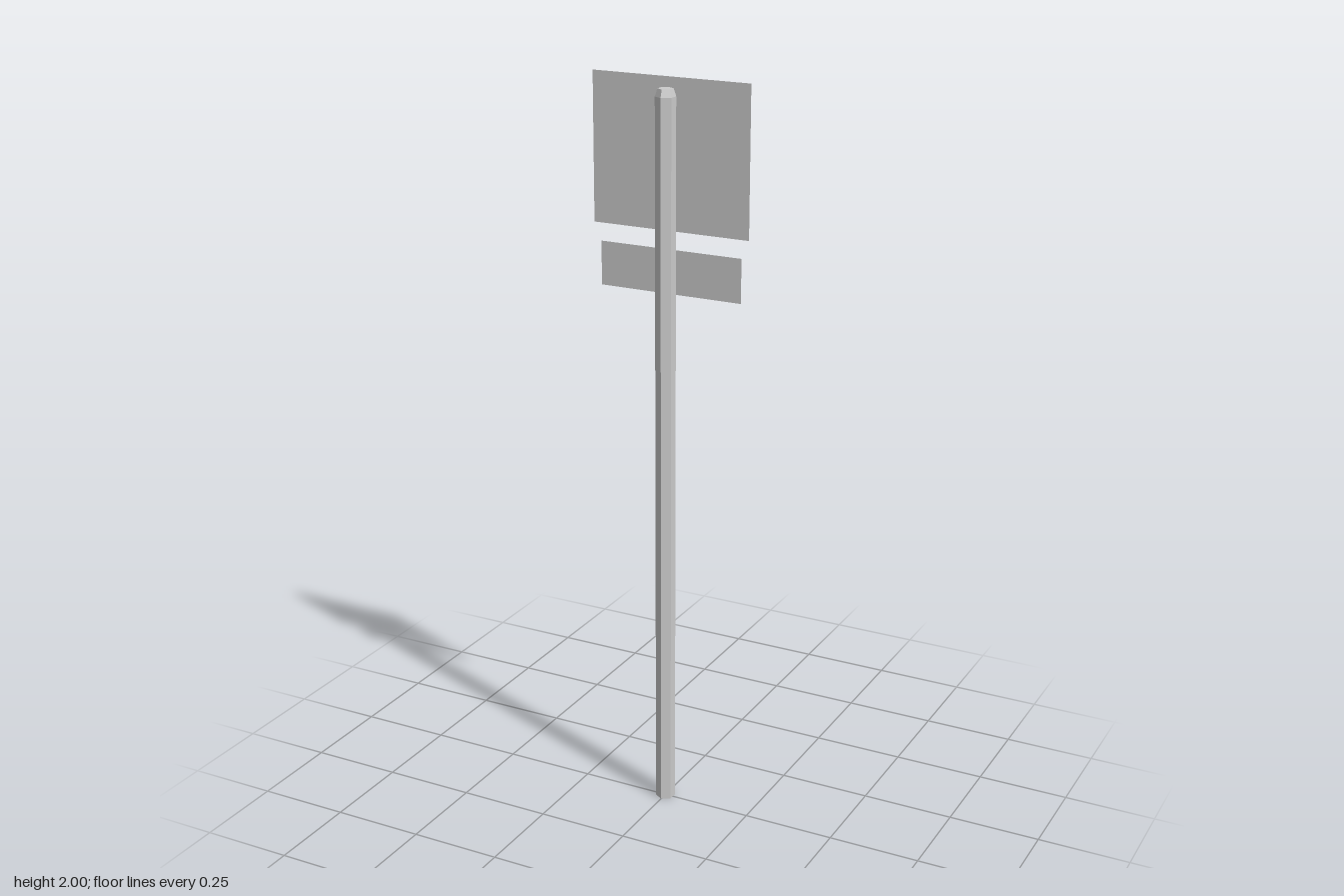
import * as THREE from 'three';

export function createModel() {
  const model = new THREE.Group();
  const postMaterial = new THREE.MeshStandardMaterial({ color: 0xcccccc, flatShading: true });
  const panelMaterial = new THREE.MeshStandardMaterial({ color: 0xcccccc, side: THREE.DoubleSide });

  // Hexagonal post with a chamfered top
  const radius = 0.0265;
  const profile = [[0, 0], [radius, 0], [radius, 1.955], [0.02, 1.975], [0, 1.975]]
    .map(([r, y]) => new THREE.Vector2(r, y));
  const post = new THREE.Mesh(new THREE.LatheGeometry(profile, 6), postMaterial);
  post.name = 'post';
  model.add(post);

  // Thin sign panels fixed to the back of the post
  const addPanel = (name, width, bottom, top) => {
    const panel = new THREE.Mesh(new THREE.PlaneGeometry(width, top - bottom), panelMaterial);
    panel.name = name;
    panel.position.set(0, (bottom + top) / 2, -radius);
    panel.rotation.y = Math.PI;
    model.add(panel);
  };
  addPanel('mainPanel', 0.44, 1.61, 2);
  addPanel('lowerPanel', 0.4, 1.445, 1.562);

  return model;
}
